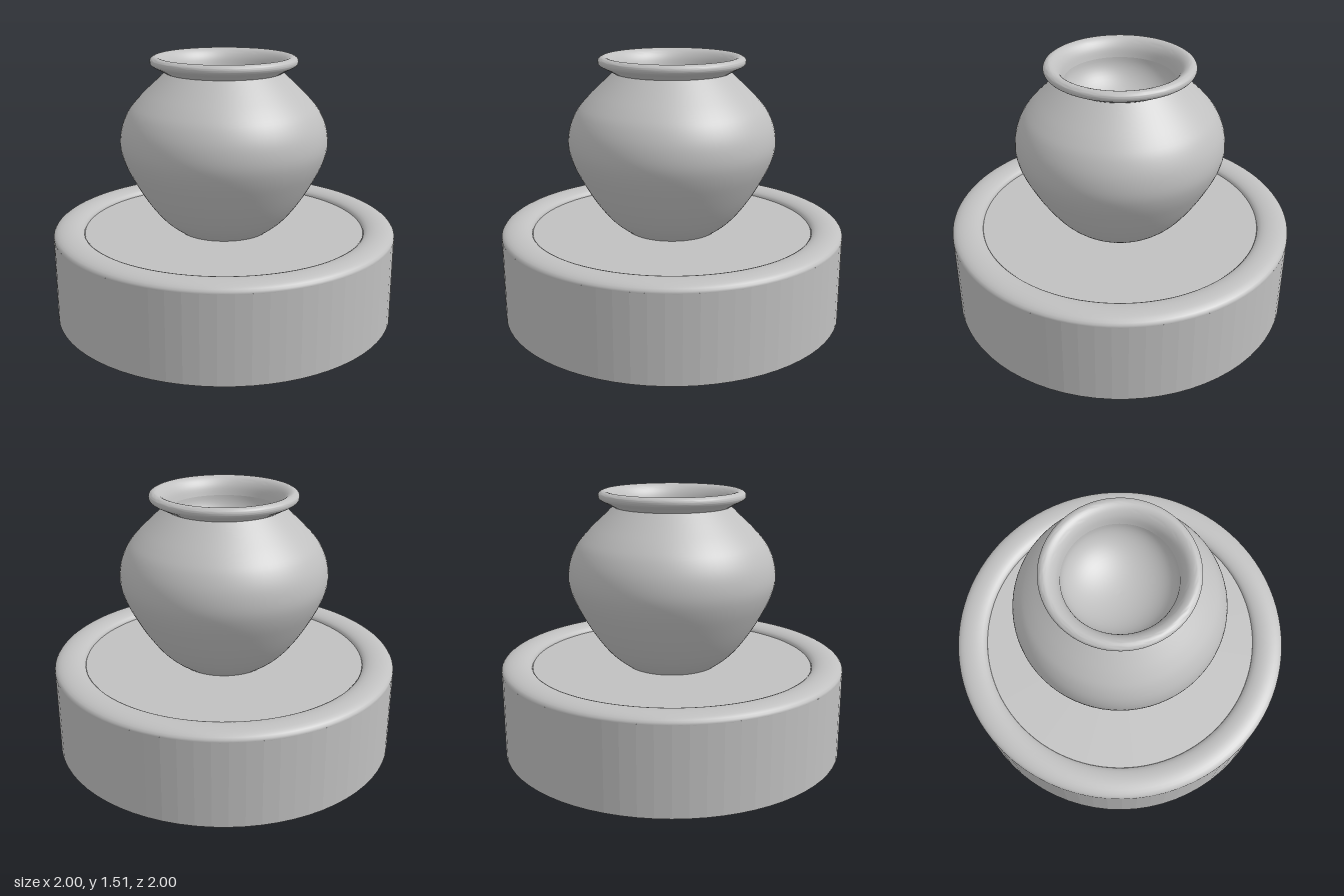
import * as THREE from 'three';
import { toCreasedNormals } from 'three/addons/utils/BufferGeometryUtils.js';

const stone = new THREE.MeshStandardMaterial({ color: 0xc0c0c0 });
stone.name = 'grey stone';

function part(name, geometry) {
  const mesh = new THREE.Mesh(geometry, stone);
  mesh.name = name;
  return mesh;
}

// smooth curve through [radius, height] points
function curve(points, count) {
  return new THREE.SplineCurve(points.map(([r, y]) => new THREE.Vector2(r, y))).getPoints(count);
}

export function createModel() {
  const model = new THREE.Group();
  model.name = 'jarOnPlinth';

  // faceted round plinth
  const drum = new THREE.CylinderGeometry(1, 1, 0.5, 72).toNonIndexed();
  drum.computeVertexNormals();
  const plinth = part('plinth', drum);
  plinth.position.y = 0.25;
  model.add(plinth);

  // flattened ring around the plinth top
  const ring = new THREE.TorusGeometry(0.91, 0.09, 24, 96);
  ring.rotateX(-Math.PI / 2);
  ring.scale(1, 0.042 / 0.09, 1);
  const rim = part('plinthRim', ring);
  rim.position.y = 0.5;
  model.add(rim);

  // round-bellied jar body, up to the neck
  const body = curve([
    [0.27, 0.5], [0.33, 0.545], [0.39, 0.605], [0.46, 0.7], [0.525, 0.81], [0.575, 0.915],
    [0.598, 1.01], [0.588, 1.11], [0.55, 1.2], [0.495, 1.27], [0.42, 1.345], [0.335, 1.425],
  ], 44);
  model.add(part('jarBody', new THREE.LatheGeometry(body, 72)));

  // flared lip with a rounded edge
  const lip = curve([
    [0.335, 1.425], [0.375, 1.447], [0.412, 1.468], [0.42, 1.487], [0.412, 1.505],
    [0.385, 1.515], [0.352, 1.498], [0.325, 1.46], [0.31, 1.41],
  ], 32);
  model.add(part('jarLip', toCreasedNormals(new THREE.LatheGeometry(lip, 72), 0.7)));

  // hollow inside the mouth
  const bowl = [];
  for (let i = 0; i <= 16; i++) {
    const a = (i / 16) * Math.PI / 2;
    bowl.push(new THREE.Vector2(i === 16 ? 0 : 0.31 * Math.cos(a), 1.41 - 0.21 * Math.sin(a)));
  }
  model.add(part('jarHollow', new THREE.LatheGeometry(bowl, 72)));

  return model;
}
